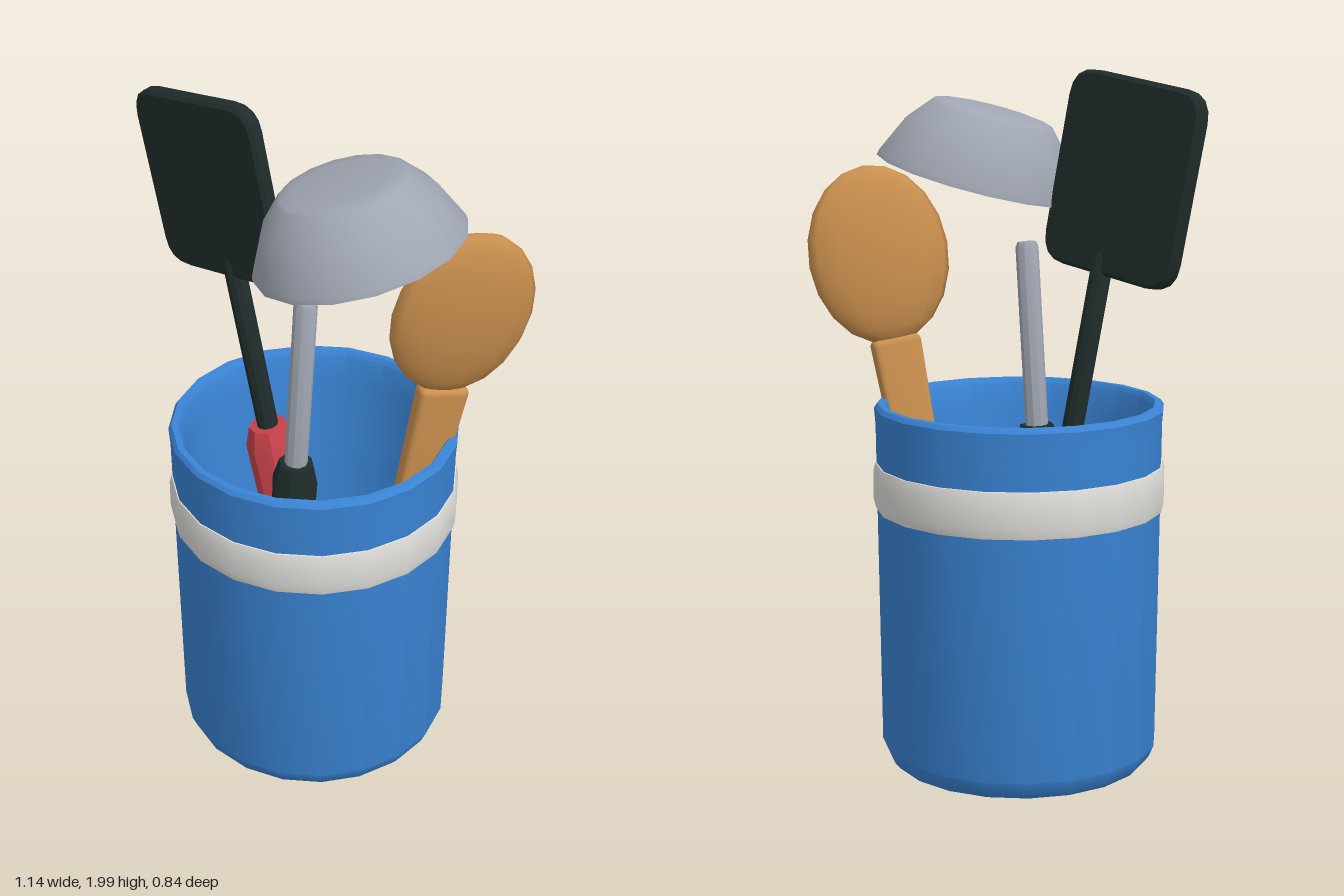
import * as THREE from 'three';
import { toCreasedNormals } from 'three/addons/utils/BufferGeometryUtils.js';
import { RoundedBoxGeometry } from 'three/addons/geometries/RoundedBoxGeometry.js';

const paint = (name, color) => {
  const m = new THREE.MeshStandardMaterial({ color });
  m.name = name;
  return m;
};

const mesh = (name, geometry, material, parent, x = 0, y = 0, z = 0) => {
  const m = new THREE.Mesh(geometry, material);
  m.name = name;
  m.position.set(x, y, z);
  parent.add(m);
  return m;
};

// Turned shape with crisp edges; the profile runs up the outside
const turned = (points, sides) => toCreasedNormals(
  new THREE.LatheGeometry(points.map(([r, y]) => new THREE.Vector2(r, y)), sides), 0.45);

// Tool group that leans sideways from its foot; inner part is turned about its own axis
const tool = (name, parent, [x, y, z], lean, yaw) => {
  const outer = new THREE.Group();
  outer.name = name;
  outer.position.set(x, y, z);
  outer.rotation.z = lean;
  const inner = new THREE.Group();
  inner.name = name + 'Parts';
  inner.rotation.y = yaw;
  outer.add(inner);
  parent.add(outer);
  return inner;
};

// Rounded eight-sided grip standing on its foot
const grip = (r, length) => turned([
  [0, 0], [r * 0.7, 0], [r, 0.04], [r * 0.9, length * 0.5],
  [r, length - 0.06], [r * 0.75, length], [0, length],
], 8);

// Thin rod with a small bevel at its top
const rod = (r, from, to) => turned([
  [0, from], [r, from], [r, to - 0.015], [r * 0.8, to], [0, to],
], 10);

export function createModel() {
  const blue = paint('blueGlaze', 0x3a85d6);
  const cream = paint('paleBand', 0xe0dfdb);
  const wood = paint('wood', 0xc98f4e);
  const steel = paint('steel', 0xa0a6b2);
  const dark = paint('darkPlastic', 0x1f2c2b);
  const red = paint('redGrip', 0xc9434a);

  const model = new THREE.Group();
  model.name = 'utensilCrock';

  // Hollow crock
  mesh('crock', turned([
    [0, 0.012], [0.37, 0.012], [0.385, 0.03], [0.4, 0.065], [0.41, 1.0], [0.414, 1.05],
    [0.405, 1.063], [0.388, 1.063], [0.38, 1.05], [0.365, 0.97], [0.35, 0.1], [0.33, 0.07], [0, 0.07],
  ], 20), blue, model, -0.02);

  // Raised band round the crock
  mesh('band', turned([
    [0.4, 0.757], [0.412, 0.76], [0.418, 0.785], [0.418, 0.865], [0.412, 0.89], [0.4, 0.893],
  ], 20), cream, model, -0.02);

  // Wooden spoon: tapered handle and flattened oval head
  const spoon = tool('woodenSpoon', model, [0.118, 0.006, -0.01], -0.184, 0.55);
  const handle = new RoundedBoxGeometry(0.145, 1.25, 0.065, 2, 0.018);
  const p = handle.attributes.position;
  for (let i = 0; i < p.count; i++) {
    const s = 0.78 + 0.35 * p.getY(i);
    p.setX(i, p.getX(i) * s);
    p.setZ(i, p.getZ(i) * s);
  }
  handle.computeVertexNormals();
  mesh('spoonHandle', toCreasedNormals(handle, 0.5), wood, spoon, 0, 0.625, 0);
  const spoonHead = new THREE.SphereGeometry(1, 14, 10);
  spoonHead.scale(0.205, 0.256, 0.062);
  mesh('spoonHead', spoonHead, wood, spoon, 0, 1.49, 0);

  // Spatula: red grip, dark rod and flat rounded blade
  const spatula = tool('spatula', model, [-0.035, 0.08, -0.1], 0.172, -0.47);
  mesh('spatulaGrip', grip(0.075, 0.89), red, spatula);
  mesh('spatulaRod', rod(0.031, 0.85, 1.45), dark, spatula);
  const w = 0.215, h = 0.258, c = 0.07;
  const outline = new THREE.Shape();
  outline.moveTo(-w + c, -h);
  outline.lineTo(w - c, -h);
  outline.quadraticCurveTo(w, -h, w, -h + c);
  outline.lineTo(w, h - c);
  outline.quadraticCurveTo(w, h, w - c, h);
  outline.lineTo(-w + c, h);
  outline.quadraticCurveTo(-w, h, -w, h - c);
  outline.lineTo(-w, -h + c);
  outline.quadraticCurveTo(-w, -h, -w + c, -h);
  const blade = new THREE.ExtrudeGeometry(outline, {
    depth: 0.03, bevelThickness: 0.01, bevelSize: 0.01, bevelSegments: 1, curveSegments: 4,
  });
  blade.translate(0, 0, -0.015);
  mesh('spatulaBlade', toCreasedNormals(blade, 0.5), dark, spatula, -0.022, 1.655, 0);

  // Ladle: dark grip, steel rod and an upturned bowl above it
  const ladle = tool('ladle', model, [-0.1, 0.08, 0.095], -0.058, 0);
  mesh('ladleGrip', grip(0.066, 0.9), dark, ladle);
  mesh('ladleRod', rod(0.033, 0.86, 1.43), steel, ladle);
  const bowl = mesh('ladleBowl', turned([
    [0, 0.185], [0.155, 0.17], [0.22, 0.105], [0.262, 0.025], [0.275, 0],
    [0.293, 0], [0.29, 0.015], [0.24, 0.118], [0.178, 0.188], [0.168, 0.194], [0.13, 0.2], [0, 0.205],
  ], 16), steel, model, 0.13, 1.685, 0.095);
  bowl.rotation.z = 0.262;

  return model;
}
